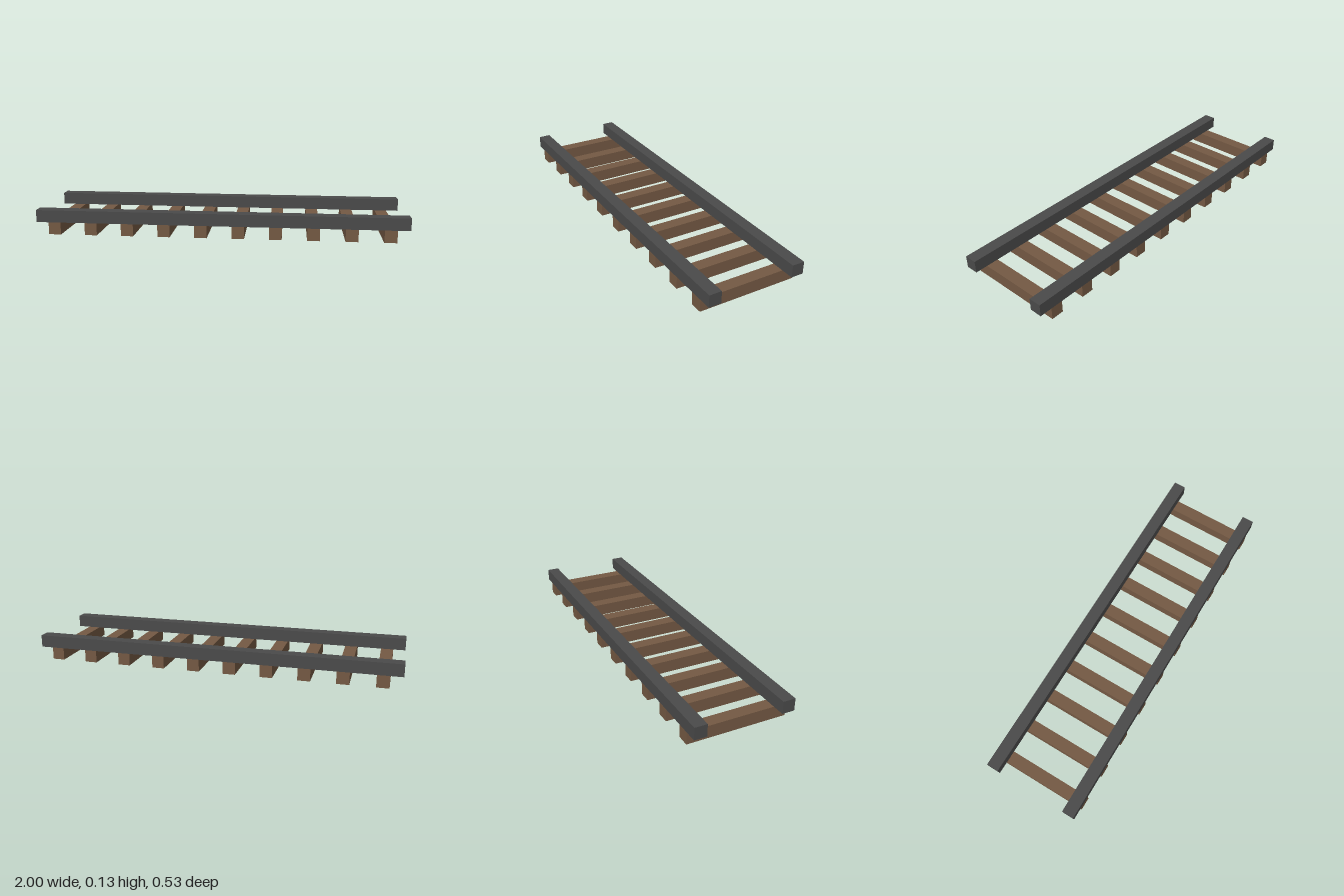
import * as THREE from 'three';

const UNIT = 1 / 15; // thickness of rails and sleepers

export function createModel() {
  const track = new THREE.Group();
  track.name = 'railTrack';

  const wood = new THREE.MeshStandardMaterial({ color: 0x745943 });
  wood.name = 'brown wood';
  const steel = new THREE.MeshStandardMaterial({ color: 0x4a4a4a });
  steel.name = 'dark grey steel';

  // Ten sleepers across the track
  const sleeperGeometry = new THREE.BoxGeometry(UNIT, UNIT, 8 * UNIT);
  for (let i = 0; i < 10; i++) {
    const sleeper = new THREE.Mesh(sleeperGeometry, wood);
    sleeper.name = `sleeper${i + 1}`;
    sleeper.position.set(-0.9 + i * 0.2, UNIT / 2, 0);
    track.add(sleeper);
  }

  // Two rails resting on the sleeper ends
  const railGeometry = new THREE.BoxGeometry(2, UNIT, UNIT);
  for (const side of [1, -1]) {
    const rail = new THREE.Mesh(railGeometry, steel);
    rail.name = side > 0 ? 'frontRail' : 'backRail';
    rail.position.set(0, UNIT * 1.5, side * 3.5 * UNIT);
    track.add(rail);
  }

  return track;
}
